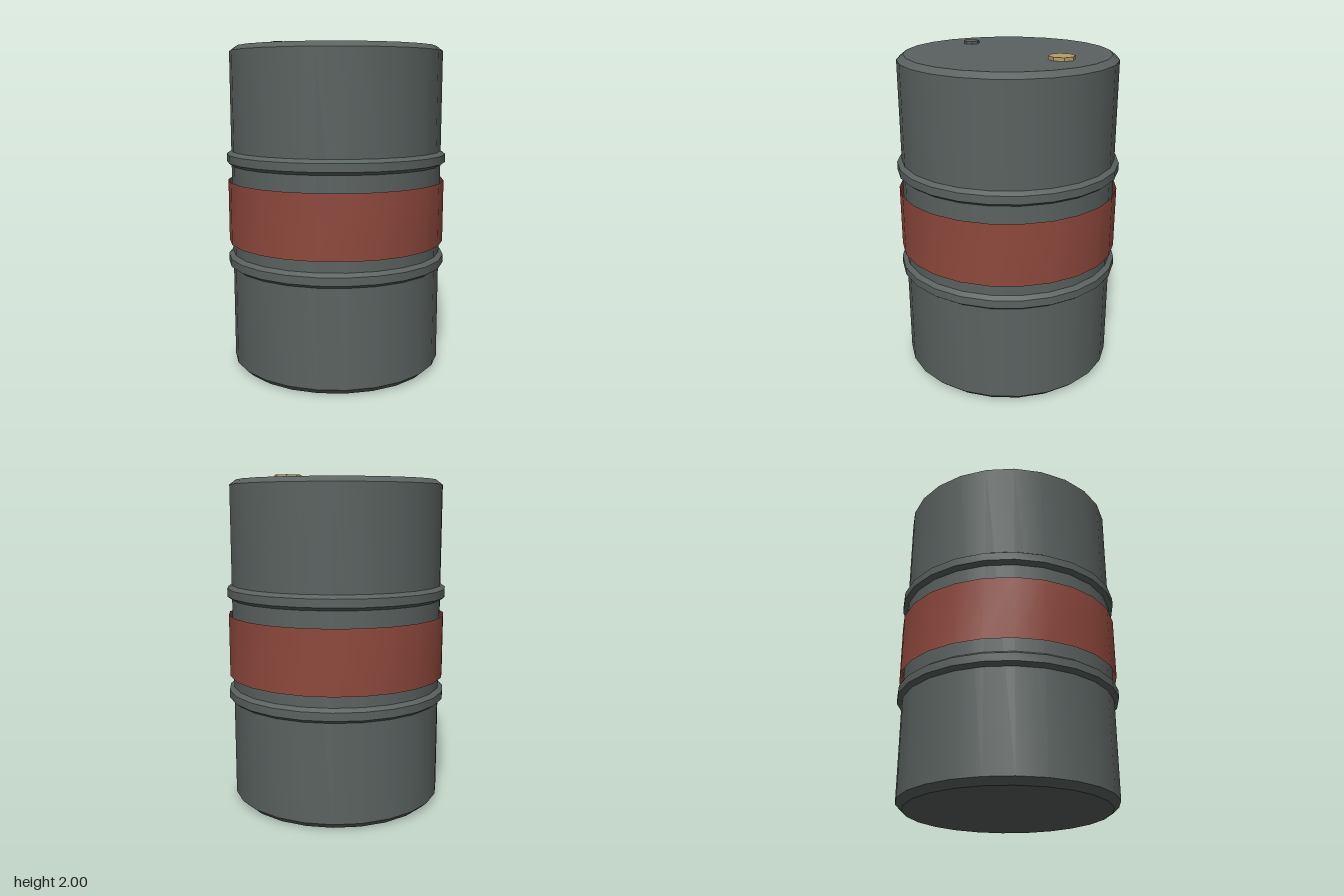
import * as THREE from 'three';
import { toCreasedNormals } from 'three/addons/utils/BufferGeometryUtils.js';

const SIDES = 24;
const CREASE = Math.PI / 7;

export function createModel() {
  const group = new THREE.Group();
  const steel = new THREE.MeshStandardMaterial({ name: 'grey steel', color: 0x5a6260 });
  const red = new THREE.MeshStandardMaterial({ name: 'red paint', color: 0x8e483c, side: THREE.DoubleSide });
  const brass = new THREE.MeshStandardMaterial({ name: 'brass', color: 0xb49e69 });

  const add = (name, geometry, material, x = 0, y = 0, z = 0) => {
    const mesh = new THREE.Mesh(toCreasedNormals(geometry, CREASE), material);
    mesh.name = name;
    mesh.position.set(x, y, z);
    group.add(mesh);
  };
  const lathe = (points) =>
    new THREE.LatheGeometry(points.map(([r, y]) => new THREE.Vector2(r, y)), SIDES);

  // Closed drum with bevelled rims
  add('drumBody', lathe([[0, 0], [0.61, 0], [0.65, 0.037], [0.65, 1.95], [0.61, 1.98], [0, 1.98]]), steel);

  // Rolling hoops
  for (const [name, y] of [['lowerHoop', 0.678], ['upperHoop', 1.308]]) {
    add(name, lathe([[0.648, -0.045], [0.678, -0.024], [0.678, 0.024], [0.648, 0.045]]), steel, 0, y);
  }

  // Painted band, an open sleeve standing just off the drum
  add('paintedBand', new THREE.CylinderGeometry(0.672, 0.672, 0.38, SIDES, 1, true), red, 0, 0.98);

  // Bung caps on the lid
  add('largeBung', new THREE.CylinderGeometry(0.078, 0.078, 0.03, 8), brass, 0.382, 1.985);
  add('smallBung', new THREE.CylinderGeometry(0.048, 0.048, 0.026, 8), steel, -0.384, 1.984, -0.115);

  return group;
}
